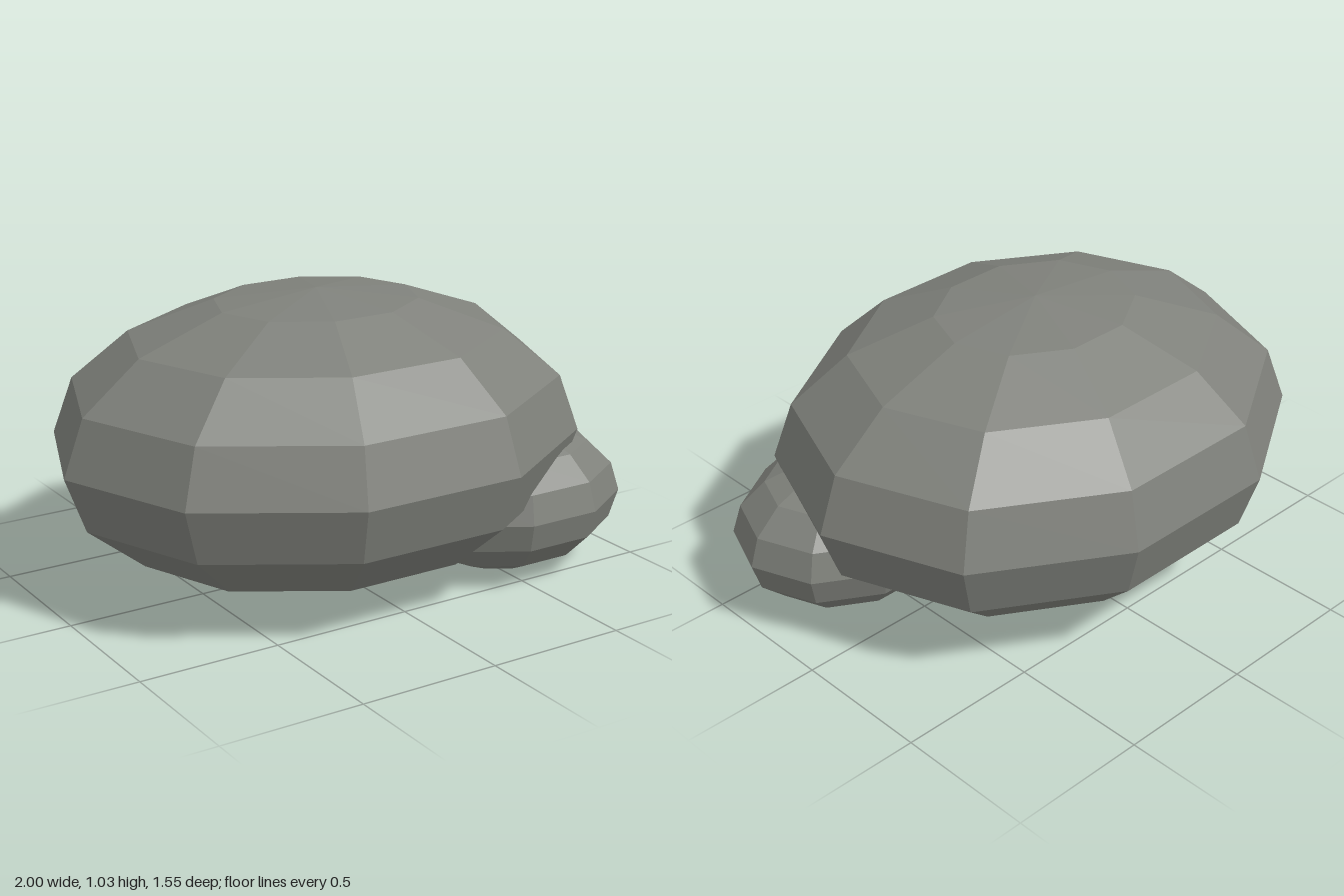
import * as THREE from 'three';

// Faceted ellipsoid boulder: 10 sides around, 8 bands from pole to pole
function boulder(name, material, radii, centre) {
  const geometry = new THREE.SphereGeometry(1, 10, 8);
  geometry.scale(...radii);
  const mesh = new THREE.Mesh(geometry, material);
  mesh.name = name;
  mesh.position.set(...centre);
  return mesh;
}

export function createModel() {
  const stone = new THREE.MeshStandardMaterial({ color: 0x7f817b, flatShading: true });
  stone.name = 'grey stone';

  const rocks = new THREE.Group();
  rocks.name = 'rocks';
  // Main rock, with a smaller one sunk into its front left side
  rocks.add(
    boulder('largeRock', stone, [0.963, 0.513, 0.815], [-0.037, 0.513, 0]),
    boulder('smallRock', stone, [0.435, 0.265, 0.363], [0.563, 0.265, 0.3]),
  );
  return rocks;
}
